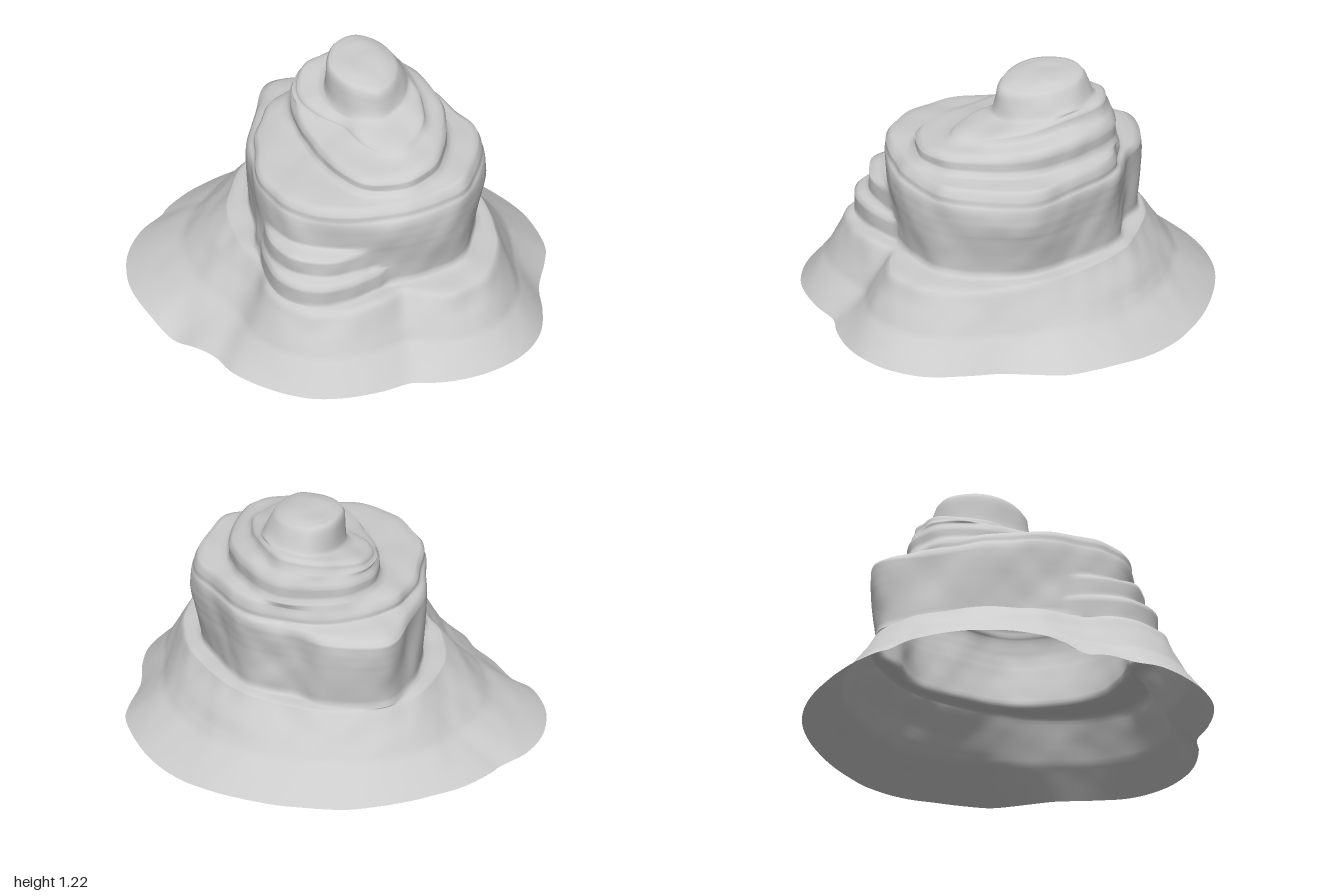
import * as THREE from 'three';

const SEG = 200, CX = 0.14, CZ = -0.14; // the vertical axis the rings are measured from

// Turns a closed plan outline [x, z, ...] into radii at even angles about the axis
function radii(flat) {
  const pts = [];
  for (let i = 0; i < flat.length; i += 2) pts.push(new THREE.Vector3(flat[i] - CX, 0, flat[i + 1] - CZ));
  const fine = new THREE.CatmullRomCurve3(pts, true, 'centripetal').getPoints(600)
    .map(p => [(Math.atan2(p.z, p.x) + Math.PI * 2) % (Math.PI * 2), Math.hypot(p.x, p.z)])
    .sort((a, b) => a[0] - b[0]);
  const first = fine[0], last = fine[fine.length - 1];
  fine.unshift([last[0] - Math.PI * 2, last[1]]);
  fine.push([first[0] + Math.PI * 2, first[1]]);
  const out = [];
  for (let i = 0, k = 0; i < SEG; i++) {
    const a = i / SEG * Math.PI * 2;
    while (fine[k + 1][0] < a) k++;
    const t = (a - fine[k][0]) / (fine[k + 1][0] - fine[k][0] || 1);
    out.push(fine[k][1] + t * (fine[k + 1][1] - fine[k][1]));
  }
  return out;
}
const mix = (a, b, t) => a.map((r, i) => r + (b[i] - r) * t);
const scale = (a, s) => a.map(r => r * s);
const union = (a, b) => a.map((r, i) => Math.max(r, b[i]));

// Plan outlines
const rim = radii([0, -0.98, 0.2, -0.96, 0.4, -0.89, 0.6, -0.775, 0.76, -0.63, 0.88, -0.46, 0.96, -0.27, 1, 0, 0.97, 0.12,
  0.9, 0.31, 0.875, 0.5, 0.83, 0.66, 0.74, 0.79, 0.6, 0.89, 0.45, 0.935, 0.25, 0.94, 0.14, 0.92, 0, 0.955, -0.15, 0.97,
  -0.3, 0.95, -0.45, 0.88, -0.6, 0.75, -0.68, 0.64, -0.72, 0.52, -0.82, 0.37, -0.93, 0.18, -0.985, 0, -1, -0.15,
  -0.96, -0.36, -0.86, -0.53, -0.72, -0.65, -0.7, -0.68, -0.56, -0.8, -0.4, -0.88, -0.2, -0.95]);
const shoulder = radii([0.05, -0.66, 0.3, -0.56, 0.5, -0.4, 0.62, -0.2, 0.68, -0.03, 0.71, 0.15, 0.69, 0.4, 0.57, 0.63,
  0.38, 0.72, 0.25, 0.69, 0.17, 0.65, 0.08, 0.69, -0.15, 0.76, -0.35, 0.7, -0.47, 0.5, -0.47, 0.3, -0.53, 0.05,
  -0.52, -0.2, -0.4, -0.47, -0.2, -0.64]);
const foot = radii([-0.2, -0.62, 0.1, -0.6, 0.22, -0.5, 0.43, -0.38, 0.55, -0.15, 0.62, 0.08, 0.58, 0.3, 0.47, 0.48,
  0.3, 0.56, 0.1, 0.59, -0.15, 0.57, -0.35, 0.45, -0.44, 0.2, -0.42, 0, -0.4, -0.2, -0.32, -0.43]);
const lowLedge = radii([0.14, -0.3, 0.3, -0.14, 0.25, 0.4, 0.1, 0.59, -0.02, 0.65, -0.13, 0.69, -0.27, 0.69, -0.39, 0.61,
  -0.45, 0.45, -0.43, 0.2, -0.2, -0.1, -0.1, -0.25]);
const highLedge = radii([0.14, -0.3, 0.3, -0.14, 0.22, 0.4, 0.06, 0.58, -0.1, 0.63, -0.23, 0.63, -0.36, 0.55,
  -0.43, 0.4, -0.42, 0.2, -0.2, -0.1, -0.1, -0.25]);
const block = radii([-0.2, -0.65, 0.1, -0.62, 0.22, -0.53, 0.45, -0.4, 0.58, -0.17, 0.68, 0.08, 0.61, 0.32, 0.49, 0.5,
  0.3, 0.59, 0.1, 0.62, -0.15, 0.58, -0.35, 0.46, -0.45, 0.2, -0.43, 0, -0.41, -0.2, -0.32, -0.43]);
const blockTop = radii([-0.1, -0.47, 0.1, -0.51, 0.28, -0.46, 0.45, -0.36, 0.57, -0.15, 0.67, 0.08, 0.6, 0.31, 0.48, 0.49,
  0.3, 0.57, 0.1, 0.6, -0.15, 0.57, -0.34, 0.45, -0.44, 0.2, -0.41, 0, -0.37, -0.2, -0.26, -0.37]);
const tierTwo = radii([0.1, -0.47, 0.3, -0.43, 0.43, -0.25, 0.51, 0.03, 0.47, 0.22, 0.36, 0.42, 0.2, 0.51, 0.02, 0.48,
  -0.1, 0.32, -0.17, 0.12, -0.2, -0.1, -0.15, -0.34, -0.02, -0.45]);
const tierThree = radii([0.15, -0.43, 0.29, -0.37, 0.36, -0.18, 0.4, 0.03, 0.36, 0.2, 0.28, 0.31, 0.18, 0.35, 0.08, 0.27,
  0, 0.1, -0.11, -0.03, -0.17, -0.2, -0.1, -0.36, 0.03, -0.42]);
const knob = radii([0.15, -0.36, 0.26, -0.31, 0.33, -0.2, 0.34, -0.07, 0.28, 0.06, 0.17, 0.125, 0.05, 0.08, -0.03, -0.03,
  -0.045, -0.15, 0.03, -0.3]);
const knobTop = radii([0.15, -0.33, 0.24, -0.28, 0.295, -0.18, 0.3, -0.07, 0.25, 0.05, 0.16, 0.11, 0.05, 0.06, -0.03, -0.05,
  -0.04, -0.15, 0.03, -0.28]);

// Rings from the rim up: [radii, height, slope of height along z, along x, rows up to this ring]
const layers = [
  [rim, 0.045, 0, 0, 1],
  [mix(rim, shoulder, 0.57), 0.19, 0, 0, 10],
  [shoulder, 0.375, 0, 0, 10],
  [scale(shoulder, 0.975), 0.392, 0, 0, 2],
  [union(scale(foot, 1.015), lowLedge), 0.4, 0, 0, 3],
  [union(foot, lowLedge), 0.42, 0, 0, 1],
  [union(mix(foot, block, 0.2), lowLedge), 0.49, 0, 0, 4],
  [union(mix(foot, block, 0.25), scale(lowLedge, 0.98)), 0.505, 0, 0, 1],
  [union(mix(foot, block, 0.3), highLedge), 0.52, 0, 0, 2],
  [union(mix(foot, block, 0.65), highLedge), 0.61, 0, 0, 5],
  [mix(foot, block, 0.8), 0.635, 0, 0, 2],
  [block, 0.69, 0, 0, 3],
  [block, 0.745, 0, 0, 4],
  [mix(block, blockTop, 0.3), 0.775, 0, 0, 2],
  [blockTop, 0.79, 0, 0, 2],
  [scale(blockTop, 0.995), 0.82, 0, 0, 3],
  [scale(blockTop, 0.96), 0.853, 0, 0.02, 2],
  [scale(tierTwo, 1.04), 0.88, -0.02, 0, 5],
  [tierTwo, 0.9, -0.02, 0, 1],
  [tierTwo, 0.955, -0.04, 0.03, 4],
  [scale(tierTwo, 0.95), 0.985, -0.05, 0.03, 2],
  [scale(tierThree, 1.04), 1.005, -0.08, 0.06, 3],
  [tierThree, 1.02, -0.1, 0.1, 1],
  [scale(tierThree, 0.98), 1.04, -0.13, 0.1, 2],
  [scale(tierThree, 0.93), 1.05, -0.13, 0.1, 1],
  [scale(knob, 1.04), 1.065, -0.12, 0.1, 3],
  [knob, 1.085, -0.1, 0.05, 1],
  [knobTop, 1.18, -0.09, -0.08, 4],
  [scale(knobTop, 0.92), 1.202, -0.08, -0.1, 2],
  [scale(knobTop, 0.6), 1.217, -0.05, -0.06, 3],
  [scale(knobTop, 0.001), 1.222, 0, 0, 4],
];

// Smooth weathering
const lumps = (x, y, z) =>
  0.55 * Math.sin(9 * x + 5 * y + 2) * Math.sin(8 * z - 7 * y + 1) +
  0.35 * Math.sin(18 * x + 1) * Math.sin(17 * z + 2) * Math.cos(15 * y) +
  0.2 * Math.sin(27 * x + 9 * z) * Math.sin(25 * z - 8 * x) * Math.sin(28 * y + 1);
const hollow = (x, z, cx, cz, depth, width) => depth * Math.exp(-((x - cx) ** 2 + (z - cz) ** 2) / width);

function rockGeometry() {
  const pos = [], index = [];
  let rows = 0;
  const addRow = (r, y, slopeZ, slopeX) => {
    for (let i = 0; i < SEG; i++) {
      const a = i / SEG * Math.PI * 2, c = Math.cos(a), s = Math.sin(a);
      const x = CX + r[i] * c, z = CZ + r[i] * s;
      const n = lumps(x, y, z);
      const amp = Math.min(0.018, r[i] * 0.05) * THREE.MathUtils.smoothstep(y, 0, 0.5);
      // the rim dips to the ground at one side and sags a little at the back
      const dip = y < 0.25 ? hollow(x, z, -0.87, 0.27, 0.045, 0.015) + hollow(x, z, 0.8, -0.55, 0.018, 0.1) : 0;
      pos.push(x + c * n * amp,
        y + slopeZ * (z - CZ) + slopeX * (x - CX) - dip + (y < 0.3 ? 0.005 : 0.01) * n, z + s * n * amp);
    }
    rows++;
  };
  layers.forEach(([r, y, slopeZ, slopeX, steps], k) => {
    if (k === 0) return addRow(r, y, slopeZ, slopeX);
    const [r0, y0, z0, x0] = layers[k - 1];
    for (let j = 1; j <= steps; j++) {
      const t = j / steps;
      addRow(mix(r0, r, t), y0 + (y - y0) * t, z0 + (slopeZ - z0) * t, x0 + (slopeX - x0) * t);
    }
  });
  for (let j = 0; j < rows - 1; j++) {
    for (let i = 0; i < SEG; i++) {
      const a = j * SEG + i, b = j * SEG + (i + 1) % SEG;
      index.push(a, a + SEG, b, b, a + SEG, b + SEG);
    }
  }
  const g = new THREE.BufferGeometry();
  g.setAttribute('position', new THREE.Float32BufferAttribute(pos, 3));
  g.setIndex(index);
  g.computeVertexNormals();
  return g;
}

export function createModel() {
  const group = new THREE.Group();
  group.name = 'rockHill';
  // Hollow terraced rock with a flared skirt, open underneath
  const rock = new THREE.Mesh(rockGeometry(),
    new THREE.MeshStandardMaterial({ color: 0xcccccc, side: THREE.DoubleSide }));
  rock.name = 'terracedRock';
  group.add(rock);
  return group;
}
